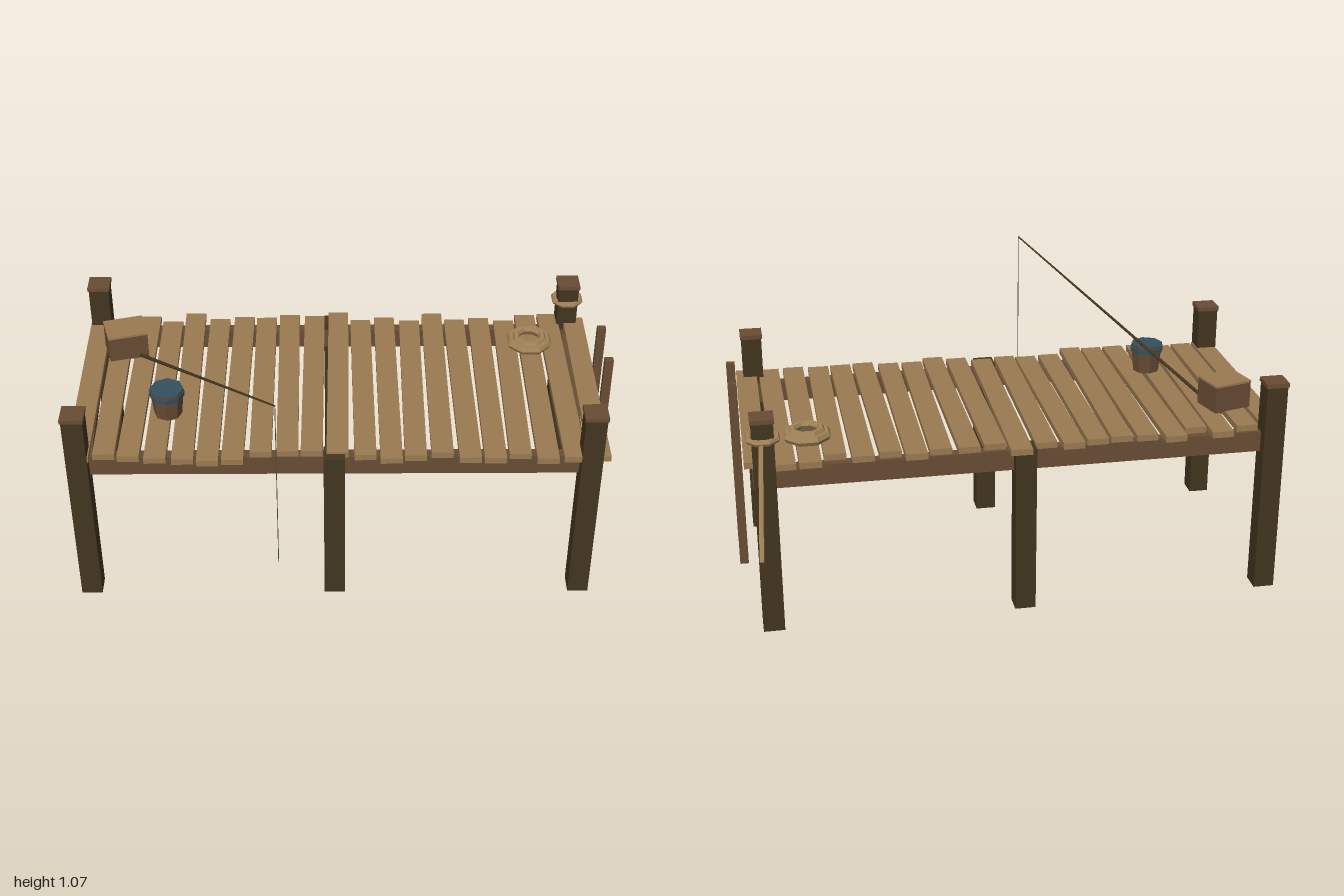
import * as THREE from 'three';

const mat = (name, color) => {
  const m = new THREE.MeshStandardMaterial({ color, flatShading: true });
  m.name = name;
  return m;
};

export function createModel() {
  const plankWood = mat('plank wood', 0x9a7a52);
  const beamWood = mat('beam wood', 0x684c34);
  const postWood = mat('post wood', 0x43351f);
  const ropeTan = mat('rope tan', 0xa08257);
  const blue = mat('bucket blue', 0x34505f);
  const lineGrey = mat('line grey', 0x4a4a48);

  const dock = new THREE.Group();
  dock.name = 'dock';
  const add = (name, geo, material, x, y, z, parent = dock) => {
    const m = new THREE.Mesh(geo, material);
    m.name = name;
    m.position.set(x, y, z);
    parent.add(m);
    return m;
  };
  const box = (name, w, h, d, material, x, y, z, parent) =>
    add(name, new THREE.BoxGeometry(w, h, d), material, x, y, z, parent);
  // tapered rod from point a to point b
  const rod = (name, a, b, ra, rb, sides, material) => {
    const p = new THREE.Vector3(...a), q = new THREE.Vector3(...b);
    const dir = q.clone().sub(p);
    const m = add(name, new THREE.CylinderGeometry(rb, ra, dir.length(), sides), material,
      ...p.clone().add(q).multiplyScalar(0.5).toArray());
    m.quaternion.setFromUnitVectors(new THREE.Vector3(0, 1, 0), dir.normalize());
    return m;
  };
  const ring = (name, R, r, x, y, z) => {
    const g = new THREE.TorusGeometry(R, r, 6, 8);
    g.rotateX(Math.PI / 2).rotateY(Math.PI / 8);
    return add(name, g, ropeTan, x, y, z);
  };

  // posts, caps and the diagonal braces between each pair
  const zFront = 0.417, zBack = -0.428;
  for (const x of [-0.955, -0.032, 0.893]) {
    const middle = x === -0.032;
    for (const z of [zFront, zBack]) {
      const h = middle ? 0.645 : 0.816;
      box('post', 0.077, h, 0.077, postWood, x, h / 2, z);
      if (!middle) box('postCap', 0.085, 0.016, 0.085, beamWood, x, 0.822, z);
    }
    const brace = box('brace', 0.03, 0.035, 0.85, beamWood, x, 0.515, -0.005);
    brace.rotation.x = 0.19;
  }

  // long beams under the deck
  for (const z of [0.395, -0.406]) box('beam', 1.93, 0.077, 0.042, beamWood, -0.03, 0.589, z);

  // deck planks: back end, front end
  const planks = [
    [-0.43, 0.45], [-0.425, 0.435], [-0.455, 0.44], [-0.41, 0.457], [-0.47, 0.462], [-0.435, 0.468],
    [-0.44, 0.468], [-0.44, 0.42], [-0.46, 0.415], [-0.445, 0.42], [-0.478, 0.42], [-0.42, 0.44],
    [-0.435, 0.462], [-0.42, 0.44], [-0.46, 0.43], [-0.42, 0.457], [-0.435, 0.457], [-0.41, 0.44],
    [-0.455, 0.462], [-0.46, 0.455], [-0.43, 0.455],
  ];
  planks.forEach(([a, b], i) => {
    const p = box('plank', 0.079, 0.024, b - a, plankWood,
      -0.955 + i * 0.0938, 0.643 + 0.003 * Math.sin(i * 2.3), (a + b) / 2);
    p.rotation.y = 0.01 * Math.sin(i * 1.7 + 1);
  });

  // ladder on the left end
  const ladder = new THREE.Group();
  ladder.name = 'ladder';
  dock.add(ladder);
  for (const z of [0.099, -0.108]) box('ladderRail', 0.032, 0.73, 0.024, beamWood, 0.981, 0.465, z, ladder);
  for (const y of [0.263, 0.393, 0.523]) box('ladderRung', 0.018, 0.02, 0.19, beamWood, 0.981, y, -0.005, ladder);

  // crate
  const crate = new THREE.Group();
  crate.name = 'crate';
  crate.position.set(-0.837, 0.655, -0.217);
  crate.rotation.y = 0.27;
  dock.add(crate);
  box('crateBody', 0.15, 0.1, 0.125, beamWood, 0, 0.05, 0, crate);
  box('crateLid', 0.152, 0.008, 0.127, plankWood, 0, 0.104, 0, crate);

  // bucket
  const bucket = new THREE.Group();
  bucket.name = 'bucket';
  bucket.position.set(-0.645, 0.655, 0.186);
  dock.add(bucket);
  add('bucketBody', new THREE.CylinderGeometry(0.063, 0.051, 0.111, 8), beamWood, 0, 0.0555, 0, bucket);
  add('bucketBand', new THREE.CylinderGeometry(0.066, 0.065, 0.02, 8), blue, 0, 0.092, 0, bucket);
  add('bucketWater', new THREE.CylinderGeometry(0.062, 0.062, 0.003, 8), blue, 0, 0.1115, 0, bucket);

  // fishing rod and hanging line
  const tip = [-0.227, 1.072, 0.697];
  rod('fishingRod', [-0.785, 0.66, -0.18], tip, 0.007, 0.003, 6, postWood);
  rod('fishingLine', tip, [-0.23, 0.39, 0.711], 0.0015, 0.0015, 4, lineGrey);

  // coiled rope, mooring loop and its loose end
  ring('ropeCoilLower', 0.073, 0.018, 0.73, 0.673, -0.25);
  ring('ropeCoilUpper', 0.054, 0.015, 0.73, 0.688, -0.25);
  ring('mooringLoop', 0.053, 0.012, 0.893, 0.749, -0.43);
  rod('mooringRope', [0.9, 0.75, -0.475], [0.927, 0.41, -0.705], 0.009, 0.009, 6, ropeTan);

  return dock;
}
